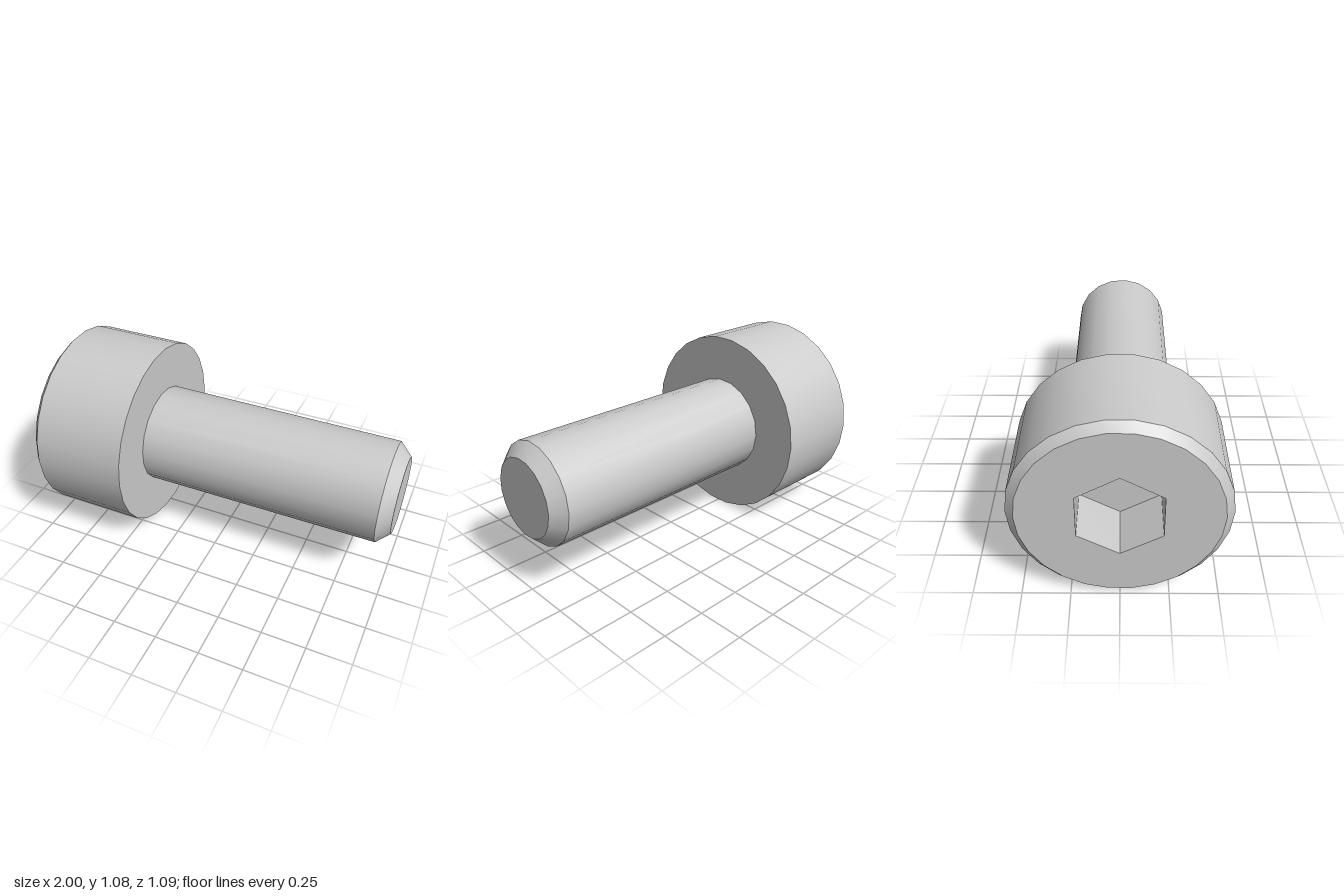
import * as THREE from 'three';
import { toCreasedNormals } from 'three/addons/utils/BufferGeometryUtils.js';

const HEAD_END = -1, HEAD_BASE = -0.43, AXIS_Y = 0.54;
const FACE_R = 0.5, HEAD_R = 0.543, SHANK_R = 0.283, HEX_R = 0.243;
const HEAD_SIDES = 26, SHANK_SIDES = 19;

const material = new THREE.MeshStandardMaterial({ color: 0xcccccc });

function part(name, geometry) {
  const mesh = new THREE.Mesh(geometry, material);
  mesh.name = name;
  return mesh;
}

// Revolve [radius, x] points around the x axis, keeping the edges sharp
function turned(name, profile, sides, start) {
  const points = profile.map(([r, x]) => new THREE.Vector2(r, x));
  const geometry = new THREE.LatheGeometry(points, sides, start).rotateZ(-Math.PI / 2);
  return part(name, toCreasedNormals(geometry, 0.5));
}

// Regular polygon corners
function ring(radius, sides, start = 0) {
  return Array.from({ length: sides }, (_, i) => {
    const a = start + (i / sides) * Math.PI * 2;
    return new THREE.Vector2(radius * Math.cos(a), radius * Math.sin(a));
  });
}

export function createModel() {
  const bolt = new THREE.Group();
  bolt.name = 'socketHeadBolt';

  // Cylindrical head with chamfered rim and flat underside
  bolt.add(turned('head', [
    [FACE_R, HEAD_END], [HEAD_R, -0.96], [HEAD_R, HEAD_BASE], [0.2, HEAD_BASE],
  ], HEAD_SIDES, 0));

  // End face of the head with a hexagonal opening
  const face = new THREE.Shape(ring(FACE_R, HEAD_SIDES));
  face.holes.push(new THREE.Path(ring(HEX_R, 6, Math.PI / 2)));
  const faceGeometry = new THREE.ShapeGeometry(face)
    .rotateY(-Math.PI / 2)
    .translate(HEAD_END, 0, 0);
  bolt.add(part('headFace', faceGeometry));

  // Hexagonal socket: floor and inward facing walls
  bolt.add(turned('hexSocket', [
    [0, -0.715], [HEX_R, -0.715], [HEX_R, HEAD_END],
  ], 6, Math.PI / 2));

  // Plain shank with chamfered tip
  bolt.add(turned('shank', [
    [SHANK_R, HEAD_BASE], [SHANK_R, 0.93], [0.215, 1], [0, 1],
  ], SHANK_SIDES, Math.PI));

  bolt.position.y = AXIS_Y;
  const model = new THREE.Group();
  model.add(bolt);
  return model;
}
